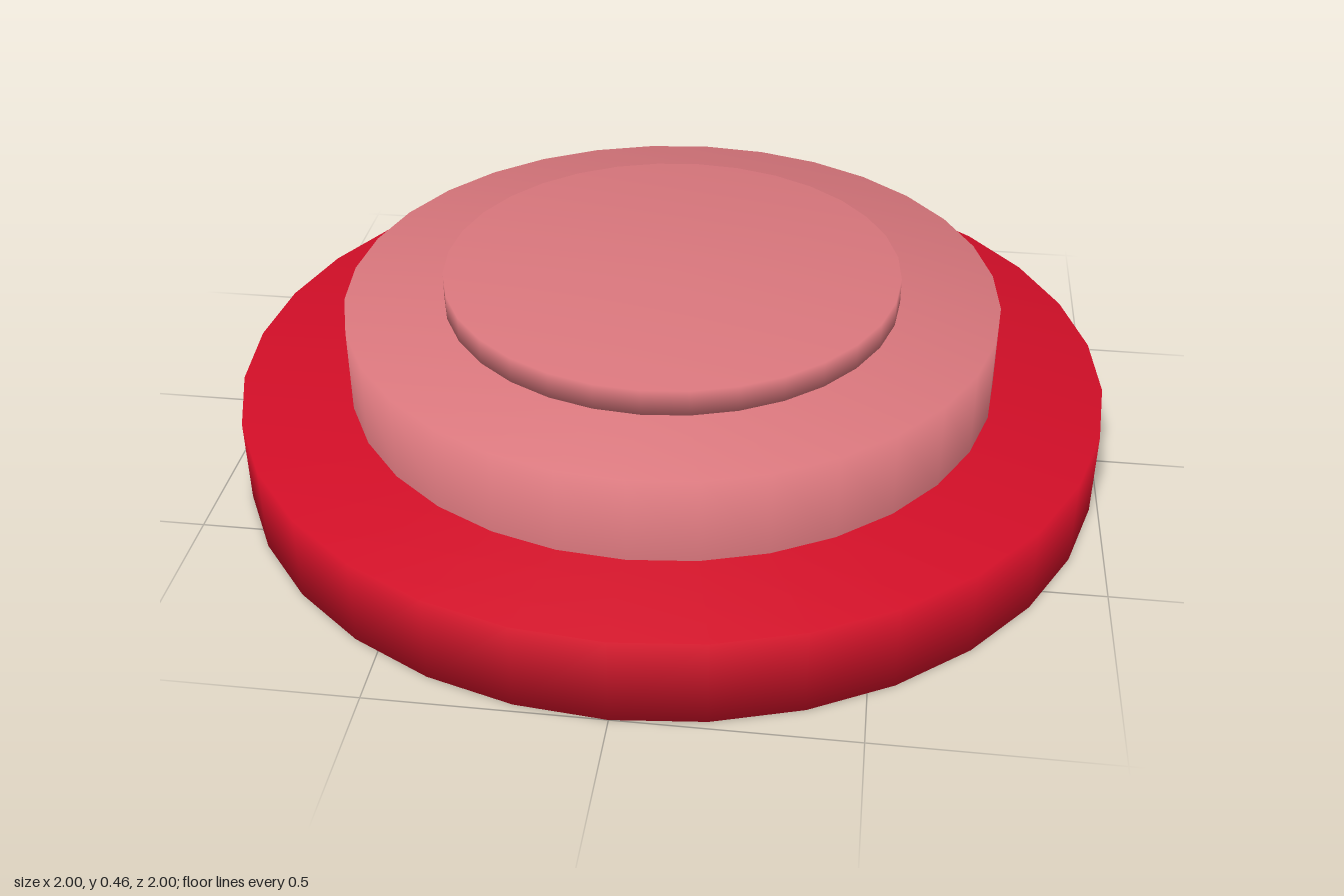
import * as THREE from 'three';
import { mergeVertices } from 'three/addons/utils/BufferGeometryUtils.js';

const SIDES = 32;
const red = new THREE.MeshStandardMaterial({ color: 0xd00e27 });
const pink = new THREE.MeshStandardMaterial({ color: 0xd8767c });

// Closed disc whose normals are smoothed across its rims
function disc(name, radius, bottom, top, material) {
  const cylinder = new THREE.CylinderGeometry(radius, radius, top - bottom, SIDES);
  cylinder.deleteAttribute('normal');
  cylinder.deleteAttribute('uv');
  const geometry = mergeVertices(cylinder, 1e-4);
  geometry.computeVertexNormals();
  const mesh = new THREE.Mesh(geometry, material);
  mesh.name = name;
  mesh.position.y = (bottom + top) / 2;
  return mesh;
}

// Open-bottomed step that rises from the base
function step(name, radius, bottom, top, material) {
  const profile = [[radius, bottom], [radius, top], [0, top]].map(([x, y]) => new THREE.Vector2(x, y));
  const lathe = new THREE.LatheGeometry(profile, SIDES);
  lathe.deleteAttribute('normal');
  lathe.deleteAttribute('uv');
  const geometry = mergeVertices(lathe, 1e-4);
  geometry.computeVertexNormals();
  const mesh = new THREE.Mesh(geometry, material);
  mesh.name = name;
  return mesh;
}

export function createModel() {
  const model = new THREE.Group();
  model.name = 'steppedButton';
  model.add(
    disc('base', 1, 0, 0.2, red),
    step('middleStep', 0.75, 0.2, 0.4, pink),
    disc('topCap', 0.523, 0.4, 0.46, pink),
  );
  return model;
}
